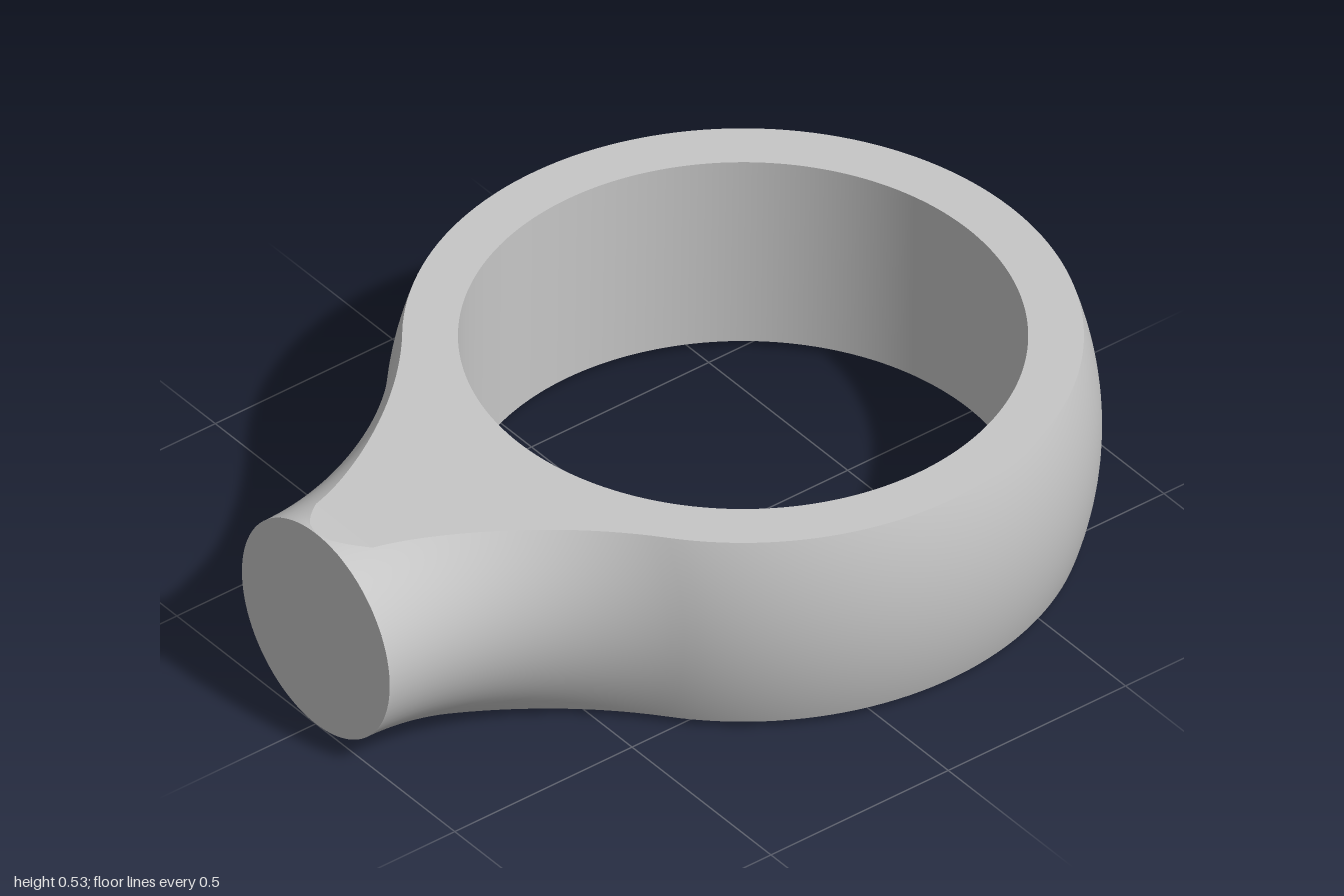
import * as THREE from 'three';

const CY = 0.267, CZ = -0.205;        // centre of the ring
const BALL = 0.797, HOLE = 0.633;     // outer (spherical) and bore radii
const HALF = 0.25;                    // half height of the ring
const END = 0.266, FILLET = 0.836;    // neck end radius and fillet radius
const Z_JOIN = 0.383, Z_FLAT = 0.92;  // fillet tangent, end of the flat faces

// Neck radius around the z axis, and half height, at depth z
const neckRadius = z => END + FILLET - Math.sqrt(FILLET ** 2 - (1 - z) ** 2);
const halfHeight = z => HALF + (END - HALF) * Math.max(0, (z - Z_FLAT) / (1 - Z_FLAT));

// Depth stations from the neck end back to the ball
const stations = [];
for (let i = 0; i < 6; i++) stations.push(1 - (1 - Z_FLAT) * i / 6);
for (let i = 0; i < 24; i++) stations.push(Z_FLAT - (Z_FLAT - Z_JOIN) * i / 24);
const N = stations.length, ARC = 120, COLS = 2 * N + ARC;

// Smooth surface from a grid of points, fn(column, row) -> [x, y, z]
function grid(cols, rows, fn) {
  const pos = [], idx = [], w = cols + 1;
  for (let j = 0; j <= rows; j++) for (let i = 0; i <= cols; i++) pos.push(...fn(i, j));
  for (let j = 0; j < rows; j++) for (let i = 0; i < cols; i++) {
    const a = j * w + i;
    idx.push(a, a + 1, a + w + 1, a, a + w + 1, a + w);
  }
  const g = new THREE.BufferGeometry();
  g.setAttribute('position', new THREE.Float32BufferAttribute(pos, 3));
  g.setIndex(idx);
  g.computeVertexNormals();
  return g;
}

// Point on the outer skin: column runs right neck -> back -> left neck, v is -1..1
function skin(i, v) {
  if (i < N || i > N + ARC) {
    const z = stations[i < N ? i : COLS - i];
    const y = v * halfHeight(z);
    const x = Math.sqrt(Math.max(0, neckRadius(z) ** 2 - y * y));
    return [i < N ? x : -x, CY + y, z];
  }
  const y = v * HALF, r = Math.sqrt(BALL ** 2 - y * y);
  const limit = Math.acos((CZ - Z_JOIN) / r);
  const a = limit * (1 - 2 * (i - N) / ARC);
  return [r * Math.sin(a), CY + y, CZ - r * Math.cos(a)];
}

// Flat face outline with the bore cut out; sign = 1 top, -1 bottom
function flatFace(sign) {
  const pts = [];
  for (let i = 6; i <= COLS - 6; i++) {
    const [x, , z] = skin(i, 1);
    pts.push(new THREE.Vector2(x, -sign * z));
  }
  const shape = new THREE.Shape(pts);
  const bore = new THREE.Path();
  bore.absarc(0, -sign * CZ, HOLE, 0, Math.PI * 2, true);
  shape.holes.push(bore);
  const g = new THREE.ShapeGeometry(shape, 96);
  g.rotateX(-sign * Math.PI / 2);
  g.translate(0, CY + sign * HALF, 0);
  return g;
}

// Small sloped face that rises from the flat to the rim of the neck end
function slope(sign) {
  return grid(1, 6, (i, j) => {
    const k = sign > 0 ? j : 6 - j;
    return skin(i ? k : COLS - k, sign);
  });
}

export function createModel() {
  const group = new THREE.Group();
  const grey = new THREE.MeshStandardMaterial({ color: 0xc6c6c6 });
  grey.name = 'grey';
  const add = (name, geometry) => {
    const mesh = new THREE.Mesh(geometry, grey);
    mesh.name = name;
    group.add(mesh);
    return mesh;
  };

  // Spherical ring side blending into the round neck
  const ROWS = 32;
  add('outerSkin', grid(COLS, ROWS, (i, j) => skin(i, Math.sin((j / ROWS - 0.5) * Math.PI))));

  // Cylindrical bore, facing inward
  add('bore', grid(192, 1, (i, j) => {
    const a = i / 192 * Math.PI * 2;
    return [HOLE * Math.sin(a), CY + (j ? HALF : -HALF), CZ - HOLE * Math.cos(a)];
  }));

  // Top and bottom faces
  for (const [name, sign] of [['top', 1], ['bottom', -1]]) {
    add(name + 'Face', flatFace(sign));
    add(name + 'NeckSlope', slope(sign));
  }

  // Round end of the neck
  add('neckEnd', new THREE.CircleGeometry(END, 96)).position.set(0, CY, 1);
  return group;
}
